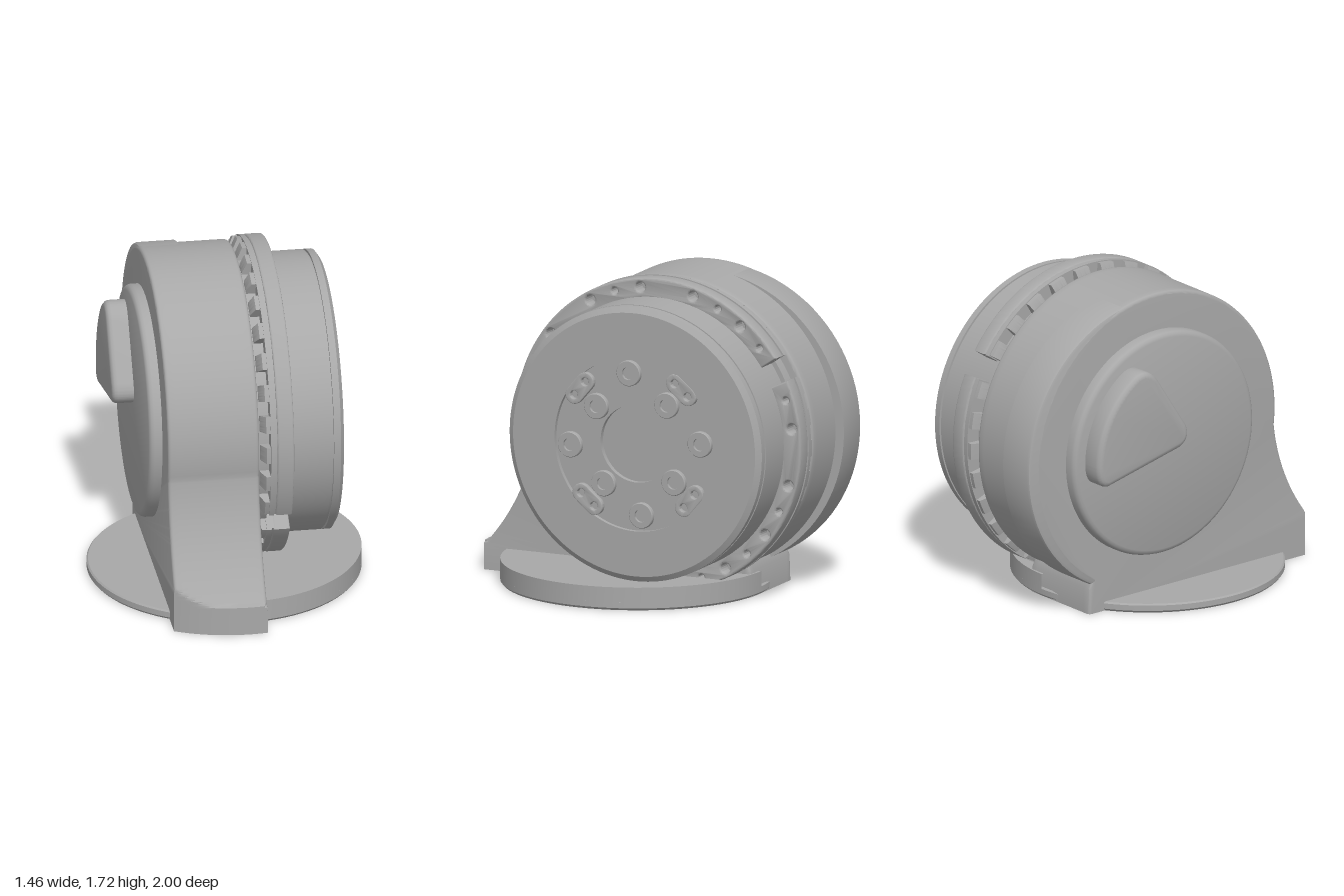
import * as THREE from 'three';
import { toCreasedNormals } from 'three/addons/utils/BufferGeometryUtils.js';

const rad = THREE.MathUtils.degToRad;
const polar = (deg, r) => [r * Math.cos(rad(deg)), r * Math.sin(rad(deg))];

export function createModel() {
  const grey = new THREE.MeshStandardMaterial({ color: 0xa8a8a8 });
  grey.name = 'machined grey';
  const model = new THREE.Group();
  model.name = 'geared motor on stand';

  // Everything on the motor axis: local z runs along world x
  const unit = new THREE.Group();
  unit.name = 'motorUnit';
  unit.rotation.y = Math.PI / 2;
  unit.position.set(0, 0.88, -0.125);
  model.add(unit);

  const add = (parent, name, geo, x = 0, y = 0, z = 0) => {
    const mesh = new THREE.Mesh(toCreasedNormals(geo, 0.55), grey);
    mesh.name = name;
    mesh.position.set(x, y, z);
    parent.add(mesh);
    return mesh;
  };
  // Turned part from [radius, axial position] pairs
  const turned = (pts, seg = 96) =>
    new THREE.LatheGeometry(pts.map(p => new THREE.Vector2(...p)), seg).rotateX(Math.PI / 2);
  // Extrusion filling z0..z1, bevel kept inside the outline
  const extrude = (shape, z0, z1, bevel = 0, steps = 1, curveSegments = 24) =>
    new THREE.ExtrudeGeometry(shape, {
      depth: z1 - z0 - 2 * bevel, steps, curveSegments, bevelEnabled: bevel > 0,
      bevelSize: bevel, bevelThickness: bevel, bevelOffset: -bevel, bevelSegments: 3,
    }).translate(0, 0, z0 + bevel);
  const hole = (x, y, r) => new THREE.Path().absarc(x, y, r, 0, Math.PI * 2, true);
  const sector = (a0, a1, rIn, rOut) => {
    const s = new THREE.Shape();
    s.absarc(0, 0, rOut, rad(a0), rad(a1), false);
    s.absarc(0, 0, rIn, rad(a1), rad(a0), true);
    s.closePath();
    return s;
  };

  // Round housing flowing into the foot
  const body = new THREE.Shape();
  body.moveTo(0.46, -0.88);
  body.lineTo(0.455, -0.74);
  body.absarc(0, 0, 0.825, rad(-58), rad(187), false);
  body.quadraticCurveTo(-0.86, -0.46, -1.125, -0.75);
  body.lineTo(-1.125, -0.88);
  body.closePath();
  const bodyGeo = extrude(body, -0.385, 0.105, 0.018, 14, 64);
  // Trim the toe of the foot to an arc seen from above
  const pos = bodyGeo.attributes.position;
  for (let i = 0; i < pos.count; i++) {
    const w = pos.getZ(i);
    const limit = -(0.335 + Math.sqrt(0.79 ** 2 - w * w));
    if (pos.getX(i) < -0.9 || pos.getX(i) < limit) {
      // widen the bevelled toe back to full length, then clamp
      const u = pos.getX(i) < -1.1 ? -1.13 : pos.getX(i);
      pos.setX(i, Math.max(u, limit));
    }
    if (pos.getY(i) < -0.85) pos.setY(i, -0.88);
  }
  add(unit, 'housing', bodyGeo);

  // Offset rear pad on the housing
  add(unit, 'housingRearPad', turned([
    [0, -0.384], [0.79, -0.384], [0.804, -0.378], [0.81, -0.365], [0.81, -0.17], [0, -0.17],
  ]), 0.065);

  // Side cover and its raised cap
  add(unit, 'sideCover', turned([
    [0, -0.455], [0.59, -0.455], [0.605, -0.45], [0.615, -0.44], [0.62, -0.425], [0.62, -0.38], [0, -0.38],
  ]));
  const cap = new THREE.Shape();
  cap.moveTo(0.47, -0.11);
  cap.quadraticCurveTo(0.54, -0.11, 0.545, 0);
  cap.absarc(0, 0, 0.545, 0, rad(58), false);
  cap.quadraticCurveTo(0.2, 0.51, 0.13, 0.42);
  cap.lineTo(-0.06, 0.13);
  cap.quadraticCurveTo(-0.11, 0.04, -0.02, 0);
  cap.closePath();
  add(unit, 'sideCap', extrude(cap, -0.57, -0.42, 0.03));

  // Motor drum with groove, chamfer, recessed face and centre bore
  add(unit, 'motorDrum', turned([
    [0, 0.09], [0.77, 0.09], [0.77, 0.17], [0.745, 0.17], [0.745, 0.505], [0.73, 0.505],
    [0.73, 0.518], [0.745, 0.518], [0.745, 0.555], [0.715, 0.575], [0.47, 0.575], [0.47, 0.55],
    [0.21, 0.55], [0.21, 0.52], [0, 0.52],
  ], 128));

  // Two flange halves with bolt holes, separated by gaps
  const large = Array.from({ length: 16 }, (_, i) => 7.5 + 22.5 * i);
  const small = [18.75, 41.25, 63.75, 108.75, 153.75, 198.75, 243.75, 288.75, 311.25, 333.75];
  for (const start of [34.5, 214.5]) {
    const end = start + 171;
    const inside = a => [a, a + 360].some(b => b > start + 3 && b < end - 3);
    const plate = sector(start, end, 0.735, 0.845);
    large.filter(inside).forEach(a => plate.holes.push(hole(...polar(a, 0.797), 0.028)));
    small.filter(inside).forEach(a => plate.holes.push(hole(...polar(a, 0.797), 0.018)));
    add(unit, 'flangeOuterPlate', extrude(plate, 0.2, 0.29, 0.01, 1, 72));
    add(unit, 'flangeSeam', extrude(sector(start, end, 0.735, 0.835), 0.185, 0.205, 0, 1, 72));
    add(unit, 'flangeInnerPlate', extrude(sector(start, end, 0.735, 0.845), 0.165, 0.192, 0, 1, 72));
    // Sloped teeth behind the flange
    for (let i = 0; i < 15; i++) {
      const a = start + 0.5 + i * 11.7;
      const tooth = extrude(sector(a, a + 6.2, 0.74, 0.84), 0.115, 0.168, 0, 2, 6);
      const p = tooth.attributes.position;
      for (let k = 0; k < p.count; k++) {
        const r = Math.hypot(p.getX(k), p.getY(k));
        if (r > 0.8 && p.getZ(k) < 0.12) {
          p.setX(k, p.getX(k) * 0.785 / r);
          p.setY(k, p.getY(k) * 0.785 / r);
        }
      }
      add(unit, 'flangeTooth', tooth);
    }
  }

  // Bolt bosses on the motor face
  const bossProfile = [[0.07, 0.545], [0.07, 0.57], [0.066, 0.575], [0.035, 0.575], [0.035, 0.558], [0, 0.558]];
  for (let i = 0; i < 4; i++) {
    add(unit, 'outerBoltBoss', turned(bossProfile, 32), ...polar(5.5 + 90 * i, 0.385));
    add(unit, 'innerBoltBoss', turned(bossProfile, 32), ...polar(51 + 90 * i, 0.295));
  }

  // Pill-shaped pads joined to the rim, two holes each
  const pill = new THREE.Shape();
  pill.absarc(0, 0.05, 0.05, 0, Math.PI, false);
  pill.absarc(0, -0.05, 0.05, Math.PI, Math.PI * 2, false);
  pill.closePath();
  for (const y of [-0.05, 0.05]) pill.holes.push(hole(0, y, 0.022));
  for (let i = 0; i < 4; i++) {
    const a = 49.5 + 90 * i;
    add(unit, 'facePad', extrude(pill, 0.545, 0.577, 0.004), ...polar(a, 0.425)).rotation.z = rad(a);
  }

  // Round base: thin all round, thick under the motor
  add(model, 'baseDisc', new THREE.LatheGeometry(
    [[0, 0], [0.72, 0], [0.73, 0.012], [0.73, 0.042], [0.722, 0.05], [0, 0.05]]
      .map(p => new THREE.Vector2(...p)), 96), 0, 0, 0.135);
  add(model, 'baseThickHalf',
    new THREE.CylinderGeometry(0.73, 0.73, 0.113, 64, 1, false, 0, Math.PI), 0, 0.0685, 0.135);

  return model;
}
